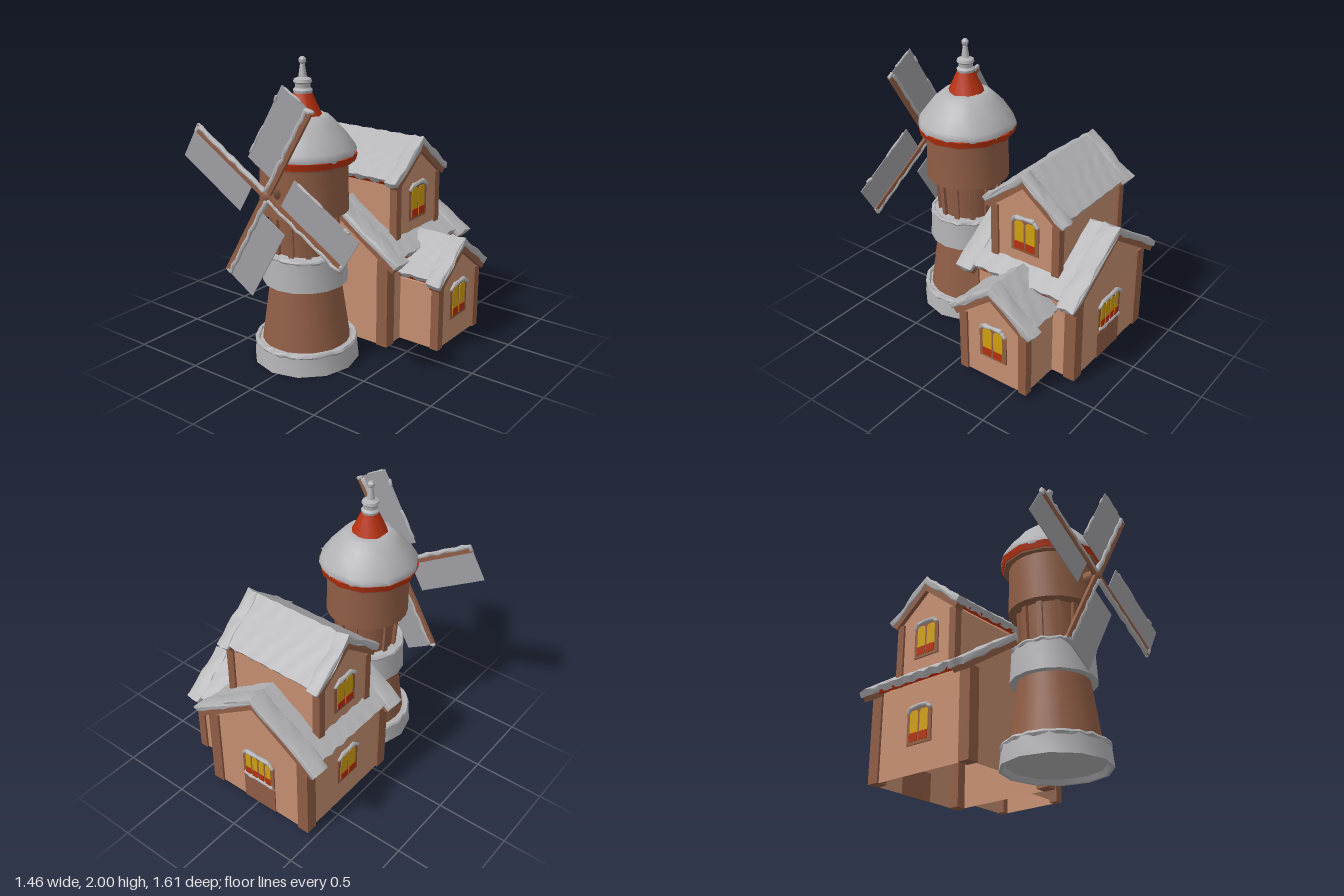
import * as THREE from 'three';
import { toCreasedNormals } from 'three/addons/utils/BufferGeometryUtils.js';

const mat = (name, color) => {
  const m = new THREE.MeshStandardMaterial({ color, side: THREE.DoubleSide });
  m.name = name;
  return m;
};

export function createModel() {
  const wood = mat('brown wood', 0x8f5d45), plaster = mat('tan plaster', 0xc48e70);
  const red = mat('red tiles', 0xb5300f), yellow = mat('yellow glass', 0xd09f10);
  const snow = mat('snow', 0xb3b2b5), sailGrey = mat('sail cloth', 0x9e9da2);
  const model = new THREE.Group();
  model.name = 'snowyWindmill';

  const add = (parent, name, geo, material, x = 0, y = 0, z = 0) => {
    const mesh = new THREE.Mesh(geo, material);
    mesh.name = name;
    mesh.position.set(x, y, z);
    parent.add(mesh);
    return mesh;
  };
  const group = (parent, name, x = 0, y = 0, z = 0, ry = 0) => {
    const g = new THREE.Group();
    g.name = name;
    g.position.set(x, y, z);
    g.rotation.y = ry;
    parent.add(g);
    return g;
  };
  const box = (parent, name, material, w, h, d, x, y, z) =>
    add(parent, name, new THREE.BoxGeometry(w, h, d), material, x, y, z);

  // Lumpy snow: push vertices by a rule that depends only on their position
  const lumpy = (geo, a = 0.006) => {
    const p = geo.attributes.position;
    for (let i = 0; i < p.count; i++) {
      const x = p.getX(i), y = p.getY(i), z = p.getZ(i);
      p.setXYZ(i, x + a * Math.sin(47 * z + 31 * y), y + a * Math.sin(41 * x + 53 * z), z + a * Math.sin(59 * x + 37 * y));
    }
    return toCreasedNormals(geo, 0.9);
  };
  const lathe = (pts, sides = 12) => {
    const g = new THREE.LatheGeometry(pts.map(([r, y]) => new THREE.Vector2(r, y)), sides, Math.PI / 2);
    return toCreasedNormals(g, 0.62);
  };
  const extrude = (pts, z0, z1, opts = {}) => {
    const g = new THREE.ExtrudeGeometry(new THREE.Shape(pts.map(([x, y]) => new THREE.Vector2(x, y))),
      { depth: z1 - z0, bevelEnabled: false, ...opts });
    return g.translate(0, 0, z0);
  };

  // Gable layer: top line y = p - m|x| out to w, lowered by off, with thickness t
  const chevron = (w, p, m, off, t, z0, z1, soft) => {
    const n = Math.hypot(1, m), line = (o) => {
      const ex = w - o * m / n, ey = p - m * w - o / n, top = p - o * n, pts = [], k = soft ? 6 : 1;
      for (let i = -k; i <= k; i++) {
        const f = Math.abs(i) / k;
        pts.push([Math.sign(i) * f * ex, top + (ey - top) * f]);
      }
      return pts;
    };
    const pts = [...line(off), ...line(off + t).reverse()];
    if (!soft) return extrude(pts, z0, z1);
    return lumpy(extrude(pts, z0 + 0.008, z1 - 0.008, {
      steps: Math.max(2, Math.round((z1 - z0) / 0.06)),
      bevelEnabled: true, bevelSize: 0.008, bevelThickness: 0.008, bevelSegments: 2,
    }));
  };

  // Roof: red tiles, brown boards at the ends and a snow blanket
  const roof = (g, { w, p, m, z0, z1, ends, d, step }) => {
    add(g, 'roofTiles', chevron(w - step + 0.005, p, m, 0.03, 0.03, z0 + 0.02, z1 - 0.02), red);
    add(g, 'roofSnow', chevron(w - step, p, m, 0.008, 0.03, z0 + 0.02, z1 - 0.02, true), snow);
    for (const e of ends) {
      const a = e > 0 ? z1 - d : z0, b = e > 0 ? z1 : z0 + d;
      add(g, 'gableBoard', chevron(w, p, m, 0.025, 0.052, a + 0.01, b - 0.01), wood);
      add(g, 'gableSnow', chevron(w, p, m, 0.004, 0.028, a, b, true), snow);
    }
  };

  // Walls with open bottom, plus corner posts
  const walls = (g, { hw, y0, p, m, z0, z1, post, ends = [-1, 1] }) => {
    const h = hw - 0.015, top = p - 0.07 * Math.hypot(1, m), eave = top - m * h;
    const full = extrude([[-h, y0], [h, y0], [h, eave], [0, top], [-h, eave]], z0 + 0.015, z1 - 0.015);
    const src = full.attributes.position, nor = full.attributes.normal, keep = [];
    for (let i = 0; i < src.count; i++)
      if (nor.getY(i) > -0.9) keep.push(src.getX(i), src.getY(i), src.getZ(i));
    const geo = new THREE.BufferGeometry();
    geo.setAttribute('position', new THREE.Float32BufferAttribute(keep, 3));
    geo.computeVertexNormals();
    add(g, 'walls', geo, plaster);
    for (const e of ends) for (const s of [-1, 1])
      box(g, 'cornerPost', wood, post, eave - y0, post, s * (hw - post / 2), (eave + y0) / 2,
        e > 0 ? z1 - post / 2 : z0 + post / 2);
  };

  const arched = (w, h, c) => [[-w / 2, 0], [w / 2, 0], [w / 2, h - c], [w / 2 - c, h], [c - w / 2, h], [-w / 2, h - c]];
  const snowRod = (len, r) => {
    const g = new THREE.CapsuleGeometry(r, len, 3, 8, Math.max(2, Math.round(len / 0.05)));
    return lumpy(g.rotateZ(Math.PI / 2), r * 0.25);
  };
  // Window facing local +z, standing on its origin
  const snowyWindow = (parent, x, y, z, ry, { w = 0.21, h = 0.25, n = 2, sill = false } = {}) => {
    const g = group(parent, 'window', x, y, z, ry), pitch = (w - 0.04) / n, pw = pitch - 0.014;
    add(g, 'windowFrame', extrude(arched(w, h, 0.035), 0, 0.009), wood);
    for (let i = 0; i < n; i++) {
      const px = (i - (n - 1) / 2) * pitch;
      add(g, 'pane', extrude(arched(pw, h - 0.045, 0.015), 0.009, 0.013), yellow, px, 0.02);
      box(g, 'redPanel', red, pw, 0.055, 0.004, px, 0.048, 0.015);
    }
    add(g, 'windowSnow', snowRod(w - 0.09, 0.015), snow, 0, h, 0.012);
    for (const s of [-1, 1]) {
      const end = add(g, 'windowSnowEnd', snowRod(0.03, 0.013), snow, s * (w / 2 - 0.02), h - 0.018, 0.012);
      end.rotation.z = -s * 0.8;
    }
    if (sill) add(g, 'sillSnow', snowRod(w - 0.04, 0.014), snow, 0, 0.01, 0.012);
  };

  // Main house, ridge along z
  const main = group(model, 'mainHouse', -0.035);
  walls(main, { hw: 0.425, y0: 0.03, p: 1.0, m: 0.67, z0: -0.775, z1: 0.09, post: 0.085 });
  roof(main, { w: 0.517, p: 0.997, m: 0.67, z0: -0.81, z1: 0.12, ends: [-1, 1], d: 0.13, step: 0.04 });
  snowyWindow(main, -0.41, 0.22, -0.34, -Math.PI / 2);
  snowyWindow(main, 0, 0.25, -0.76, Math.PI, { w: 0.27, h: 0.22, n: 4, sill: true });
  box(main, 'backDoor', wood, 0.27, 0.2, 0.009, 0, 0.13, -0.763);

  // Upper storey and side wing, ridges along x
  const upper = group(model, 'upperStorey', 0, 0, -0.34, Math.PI / 2);
  walls(upper, { hw: 0.265, y0: 0.62, p: 1.4, m: 0.79, z0: -0.425, z1: 0.345, post: 0.055 });
  roof(upper, { w: 0.317, p: 1.402, m: 0.79, z0: -0.45, z1: 0.375, ends: [-1, 1], d: 0.09, step: 0.018 });
  snowyWindow(upper, 0, 0.83, 0.33, 0);
  snowyWindow(upper, 0, 0.83, -0.41, Math.PI);

  const wing = group(model, 'sideWing', 0, 0, -0.34, Math.PI / 2);
  walls(wing, { hw: 0.265, y0: 0.03, p: 0.76, m: 0.76, z0: 0.36, z1: 0.69, post: 0.06, ends: [1] });
  roof(wing, { w: 0.317, p: 0.762, m: 0.76, z0: 0.33, z1: 0.72, ends: [1], d: 0.11, step: 0.03 });
  snowyWindow(wing, 0, 0.195, 0.675, 0);

  // Tower
  const tower = group(model, 'tower', -0.035, 0, 0.415);
  const ring = (r, y, t) =>
    add(tower, 'snowRim', lumpy(new THREE.TorusGeometry(r, t, 6, 48).rotateX(Math.PI / 2), 0.005), snow, 0, y);
  add(tower, 'base', lathe([[0, 0.03], [0.31, 0.03], [0.33, 0], [0.352, 0], [0.338, 0.13], [0.28, 0.145]]), snow);
  ring(0.322, 0.132, 0.018);
  add(tower, 'lowerBody', lathe([[0.292, 0.13], [0.225, 0.6]], 24), wood);
  add(tower, 'snowBelt', lathe([[0.22, 0.55], [0.28, 0.55], [0.268, 0.75], [0.2, 0.765]], 16), snow);
  ring(0.257, 0.752, 0.016);
  add(tower, 'galleryWall', lathe([[0.2, 0.74], [0.215, 1.05]], 24), wood);
  for (let i = 0; i < 12; i++) {
    const holder = group(tower, 'galleryPostHolder', 0, 0, 0, (i + 0.5) * Math.PI / 6);
    box(holder, 'galleryPost', wood, 0.035, 0.3, 0.035, 0, 0.9, 0.208).rotation.x = 0.05;
  }
  add(tower, 'drum', lathe([[0.2, 1.03], [0.286, 1.03], [0.28, 1.36]], 24), wood);
  add(tower, 'eaveBoard', lathe([[0.27, 1.35], [0.322, 1.35], [0.328, 1.375]]), wood);
  add(tower, 'eaveTiles', lathe([[0.27, 1.36], [0.33, 1.362], [0.34, 1.405], [0.3, 1.42]]), red);
  add(tower, 'roofSnow', lumpy(new THREE.LatheGeometry(
    [[0.3, 1.395], [0.328, 1.398], [0.334, 1.418], [0.32, 1.45], [0.265, 1.525], [0.21, 1.59], [0.165, 1.632], [0.13, 1.645], [0.1, 1.64]]
      .map(([r, y]) => new THREE.Vector2(r, y)), 24), 0.004), snow);
  add(tower, 'redSpire', lathe([[0.127, 1.63], [0.055, 1.785]]), red);
  add(tower, 'finial', lathe([[0, 1.77], [0.058, 1.775], [0.062, 1.795], [0.048, 1.81], [0.05, 1.835], [0.06, 1.845],
    [0.055, 1.862], [0.027, 1.875], [0.015, 1.955], [0.024, 1.968], [0.024, 1.984], [0.012, 1.998], [0, 2]]), snow);

  // Sails: four arms, each with one panel on its counter-clockwise side
  const axle = add(model, 'axle', new THREE.CylinderGeometry(0.045, 0.045, 0.1, 12).rotateX(Math.PI / 2), wood, -0.035, 1.2, 0.705);
  axle.name = 'axle';
  const sails = group(model, 'sails', -0.035, 1.2, 0.772);
  add(sails, 'hub', new THREE.SphereGeometry(0.034, 12, 8), wood).scale.z = 0.6;
  for (let i = 0; i < 4; i++) {
    const arm = group(sails, 'sail');
    arm.rotation.z = THREE.MathUtils.degToRad(59 + 90 * i);
    const side = i % 2 ? -1 : 1;
    box(arm, 'arm', wood, 0.65, 0.05, 0.022, 0.34, 0, 0);
    box(arm, 'panel', sailGrey, 0.55, 0.21, 0.006, 0.395, 0.13, 0);
    add(arm, 'armSnow', snowRod(0.62, 0.017), snow, 0.34, side * 0.016, 0);
    const tip = add(arm, 'tipSnow', snowRod(0.03, 0.016), snow, 0.66, 0, 0);
    tip.rotation.z = Math.PI / 2;
    // Drifts on panel edges that face upward
    if (i === 0) add(arm, 'panelSnow', snowRod(0.13, 0.008), snow, 0.668, 0.14, 0).rotation.z = Math.PI / 2;
    if (i === 0 || i === 3) {
      add(arm, 'panelSnow', snowRod(0.2, 0.009), snow, 0.26, 0.232, 0);
      add(arm, 'panelSnow', snowRod(0.03, 0.011), snow, 0.57, 0.232, 0);
    }
  }
  return model;
}
